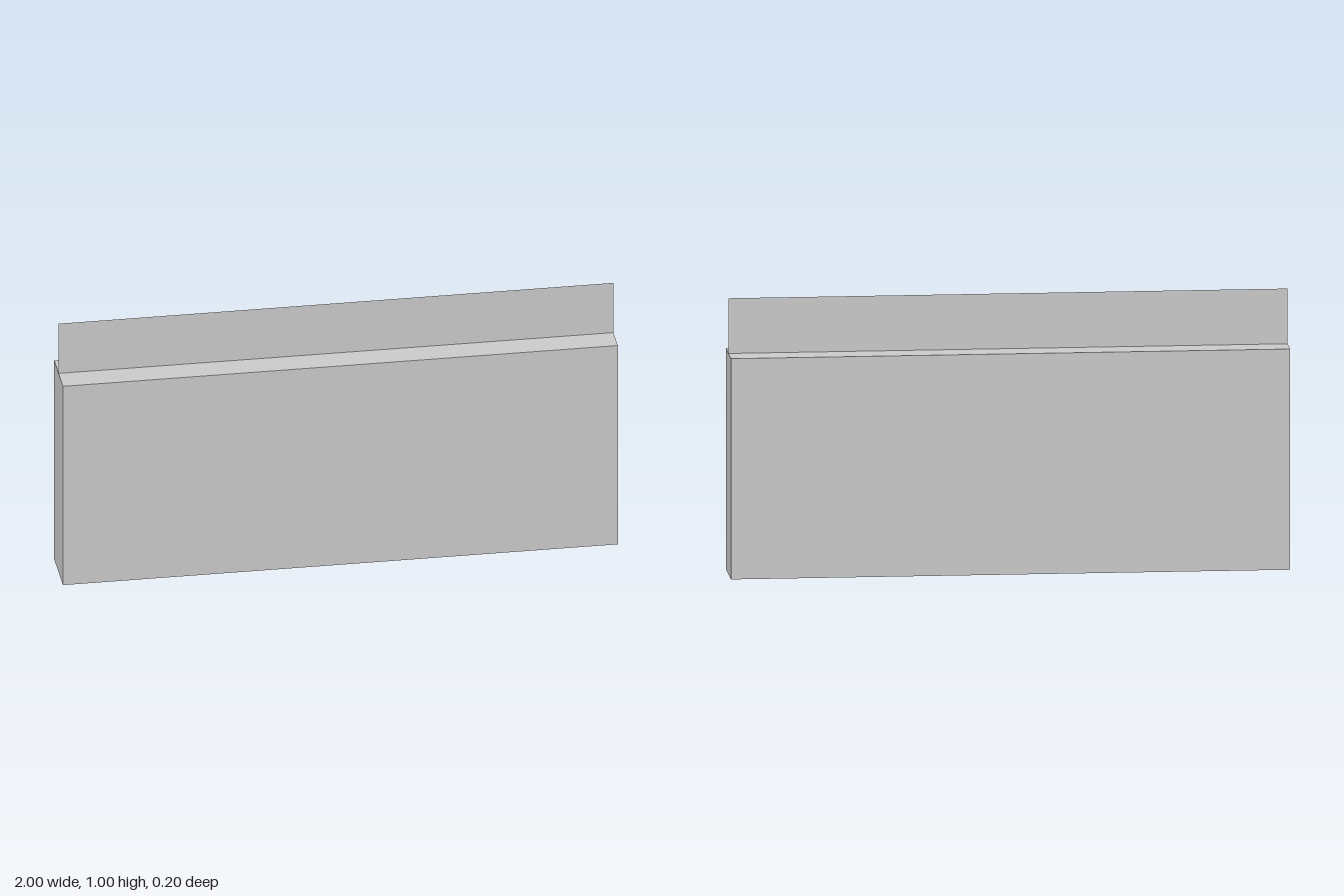
import * as THREE from 'three';

const WIDTH = 2, DEPTH = 0.2, BODY = 0.8, TOTAL = 1;

export function createModel() {
  const group = new THREE.Group();
  const material = new THREE.MeshStandardMaterial({
    color: 0xcccccc, flatShading: true, side: THREE.DoubleSide,
  });

  function addPanel(name, w, h, position, rotation = [0, 0, 0]) {
    const mesh = new THREE.Mesh(new THREE.PlaneGeometry(w, h), material);
    mesh.name = name;
    mesh.position.set(...position);
    mesh.rotation.set(...rotation);
    group.add(mesh);
  }

  // Thin-walled body, open underneath
  for (const [name, s] of [['front', 1], ['back', -1]]) {
    addPanel(name + 'Wall', WIDTH, BODY, [0, BODY / 2, s * DEPTH / 2], [0, s > 0 ? 0 : Math.PI, 0]);
  }
  for (const [name, s] of [['left', 1], ['right', -1]]) {
    addPanel(name + 'Wall', DEPTH, BODY, [s * WIDTH / 2, BODY / 2, 0], [0, s * Math.PI / 2, 0]);
  }
  addPanel('topCover', WIDTH, DEPTH, [0, BODY, 0], [-Math.PI / 2, 0, 0]);

  // Single upright sheet along the middle of the top
  addPanel('uprightSheet', WIDTH, TOTAL - BODY, [0, (TOTAL + BODY) / 2, 0]);

  return group;
}
